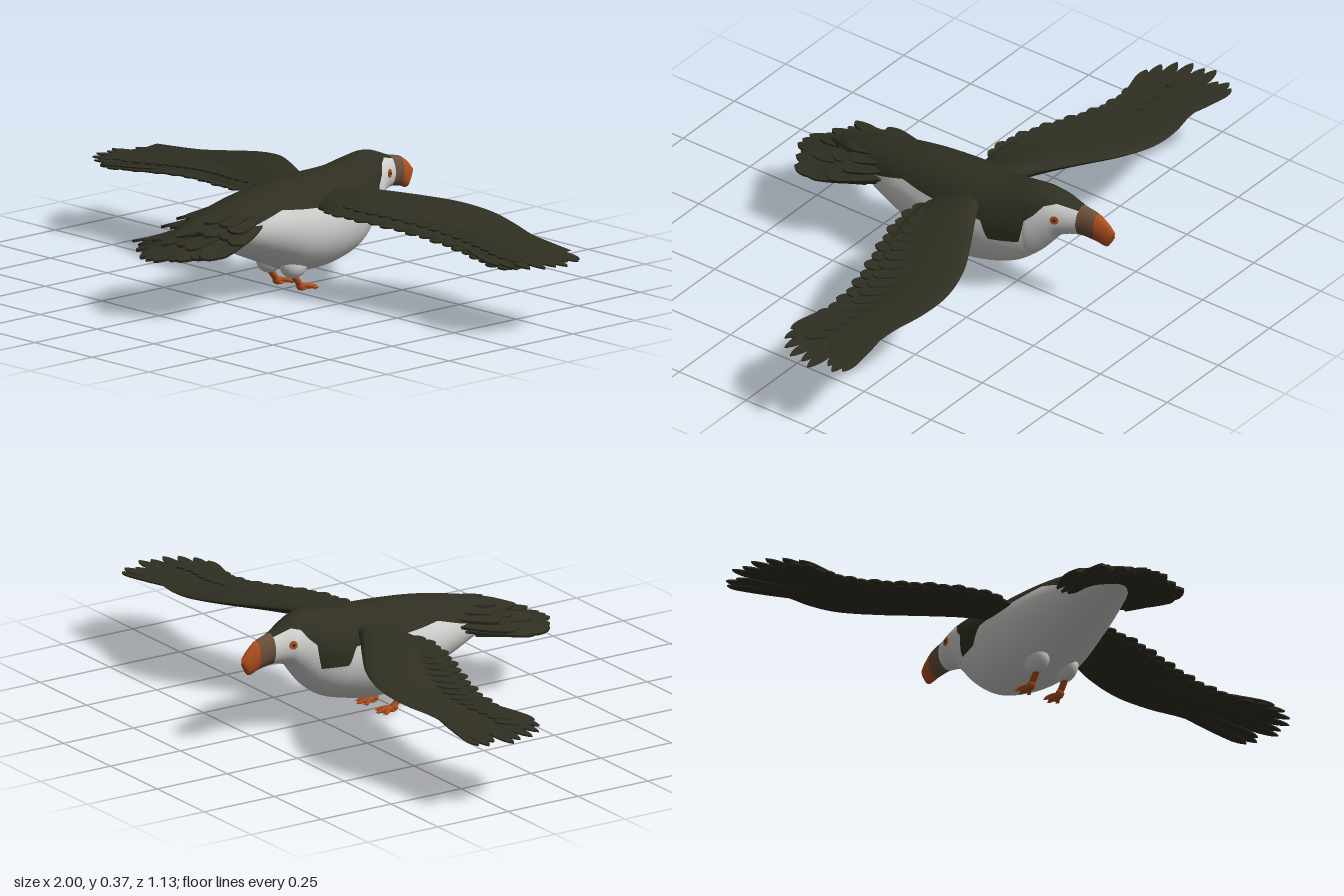
import * as THREE from 'three';

const mat = (name, color) => Object.assign(new THREE.MeshStandardMaterial({ color }), { name });
const V = (x, y, z) => new THREE.Vector3(x, y, z);

// Interpolate table rows at key k (first column); smooth = cubic, otherwise linear
function at(rows, k, smooth = true) {
  const dir = Math.sign(rows[1][0] - rows[0][0]);
  let i = 0;
  while (i < rows.length - 2 && (k - rows[i + 1][0]) * dir > 0) i++;
  const a = rows[i], b = rows[i + 1], p = rows[Math.max(i - 1, 0)], q = rows[Math.min(i + 2, rows.length - 1)];
  const h = b[0] - a[0], t = THREE.MathUtils.clamp((k - a[0]) / h, 0, 1);
  return a.map((_, c) => {
    if (!smooth) return a[c] + (b[c] - a[c]) * t;
    const m0 = (b[c] - p[c]) / (b[0] - p[0]) * h, m1 = (q[c] - a[c]) / (q[0] - a[0]) * h;
    const t2 = t * t, t3 = t2 * t;
    return a[c] * (2 * t3 - 3 * t2 + 1) + m0 * (t3 - 2 * t2 + t) + b[c] * (3 * t2 - 2 * t3) + m1 * (t3 - t2);
  });
}

// Skin a surface f(i, j) over a grid of rows and columns
function skin(nu, nv, f) {
  const pos = [], idx = [];
  for (let i = 0; i <= nu; i++) for (let j = 0; j <= nv; j++) {
    pos.push(...f(i / nu, j / nv));
    if (i < nu && j < nv) {
      const a = i * (nv + 1) + j, c = a + nv + 1;
      idx.push(a, a + 1, c, a + 1, c + 1, c);
    }
  }
  const g = new THREE.BufferGeometry();
  g.setAttribute('position', new THREE.Float32BufferAttribute(pos, 3));
  g.setIndex(idx);
  g.computeVertexNormals();
  return g;
}

// Body sections: z, top, bottom, half width, centre x
const BODY = [
  [0.44, 0.238, 0.228, 0.012, 0], [0.35, 0.272, 0.205, 0.055, 0], [0.2, 0.308, 0.14, 0.103, 0],
  [0.1, 0.325, 0.098, 0.125, 0], [0, 0.335, 0.058, 0.139, 0], [-0.1, 0.341, 0.05, 0.14, 0],
  [-0.2, 0.346, 0.066, 0.124, 0], [-0.27, 0.358, 0.09, 0.105, -0.005], [-0.33, 0.365, 0.135, 0.084, -0.014],
  [-0.37, 0.36, 0.18, 0.068, -0.022], [-0.4, 0.35, 0.213, 0.058, -0.03], [-0.46, 0.327, 0.229, 0.036, -0.042],
  [-0.512, 0.314, 0.222, 0.025, -0.049], [-0.545, 0.293, 0.213, 0.016, -0.053],
  [-0.56, 0.278, 0.232, 0.01, -0.055], [-0.572, 0.265, 0.255, 0.003, -0.056]];
// Height of the dark and white border along z
const BORDER = [
  [0.44, 0.228], [0.35, 0.222], [0.2, 0.245], [0.1, 0.275], [0.03, 0.268], [-0.2, 0.255], [-0.225, 0.2],
  [-0.315, 0.2], [-0.322, 0.275], [-0.35, 0.3], [-0.37, 0.328], [-0.4, 0.336], [-0.46, 0.319]];

function bodyPoint(z, a) {
  const [, top, bot, w, cx] = at(BODY, z);
  return [cx + w * Math.sin(a), (top + bot) / 2 + (top - bot) / 2 * Math.cos(a), z];
}
function angleAt(z, y) {
  const [, top, bot] = at(BODY, z);
  return Math.acos(THREE.MathUtils.clamp((2 * y - top - bot) / (top - bot), -1, 1));
}
// Strip of the body between two z values; a0 and a1 give the angle range
const bodyStrip = (z0, z1, nu, nv, a0, a1) => skin(nu, nv, (u, v) => {
  const z = z0 + (z1 - z0) * u, s = a0(z), e = a1(z);
  return bodyPoint(z, s + (e - s) * v);
});

// Wing sections: x, leading z, trailing z, mid height, thickness
const WING = [
  [0.07, -0.165, -0.04, 0.272, 0.055], [0.16, -0.215, -0.02, 0.276, 0.05], [0.27, -0.282, -0.025, 0.273, 0.042],
  [0.39, -0.347, -0.055, 0.265, 0.034], [0.51, -0.377, -0.088, 0.251, 0.026], [0.62, -0.367, -0.105, 0.237, 0.018],
  [0.72, -0.342, -0.1, 0.227, 0.012], [0.83, -0.333, -0.085, 0.219, 0.008], [0.91, -0.328, -0.105, 0.214, 0.003]];

// One thin blunt feather from root to tip
function feather(root, tip, width, side = V(0, 1, 0), thick = 0.005) {
  const L = root.distanceTo(tip), w = width / 2;
  const s = new THREE.Shape();
  s.moveTo(-w * 0.6, 0);
  s.lineTo(w * 0.6, 0);
  s.quadraticCurveTo(w * 1.2, L * 0.5, w, L * 0.82);
  s.quadraticCurveTo(w * 0.8, L * 0.95, 0, L);
  s.quadraticCurveTo(-w * 0.8, L * 0.95, -w, L * 0.82);
  s.quadraticCurveTo(-w * 1.2, L * 0.5, -w * 0.6, 0);
  const g = new THREE.ExtrudeGeometry(s, { depth: thick, bevelEnabled: false, curveSegments: 5 });
  g.translate(0, 0, -thick / 2);
  const y = tip.clone().sub(root).normalize();
  const x = y.clone().cross(side).normalize(), z = x.clone().cross(y);
  g.applyMatrix4(new THREE.Matrix4().makeBasis(x, y, z).setPosition(root));
  return g;
}

export function createModel() {
  const model = new THREE.Group();
  model.name = 'seabird';
  const dark = mat('darkPlumage', 0x302f22), white = mat('whitePlumage', 0xd2d2d0);
  const orange = mat('orange', 0xb0501f), brown = mat('beakBrown', 0x6a4f3b);
  const add = (parent, name, geo, m) => {
    const mesh = new THREE.Mesh(geo, m);
    mesh.name = name;
    parent.add(mesh);
    return mesh;
  };
  const group = (name, parent = model) => {
    const g = new THREE.Group();
    g.name = name;
    parent.add(g);
    return g;
  };

  // Body, with dark back and white underside meeting along the border
  const edge = z => angleAt(z, at(BORDER, z, false)[1]);
  add(model, 'back', bodyStrip(0.44, -0.46, 120, 18, z => -edge(z), edge), dark);
  add(model, 'belly', bodyStrip(0.44, -0.46, 120, 26, edge, z => 2 * Math.PI - edge(z)), white);

  // Beak
  const full = [() => 0, () => 2 * Math.PI];
  add(model, 'beakBase', bodyStrip(-0.46, -0.512, 6, 24, ...full), brown);
  add(model, 'beakTip', bodyStrip(-0.512, -0.572, 14, 24, ...full), orange);

  // Eyes lie flat on the cheeks
  for (const s of [1, -1]) {
    const z = -0.405, a = s * angleAt(z, 0.29);
    const p = V(...bodyPoint(z, a));
    const du = V(...bodyPoint(z - 0.01, a)).sub(p), dv = V(...bodyPoint(z, a + 0.05)).sub(p);
    const n = dv.cross(du).normalize();
    const eye = group(s > 0 ? 'leftEye' : 'rightEye');
    [['iris', 0.013, orange, 0.003], ['pupil', 0.005, dark, 0.005]].forEach(([name, r, m, off]) => {
      const disc = add(eye, name, new THREE.CylinderGeometry(r, r, 0.004, 14), m);
      disc.quaternion.setFromUnitVectors(V(0, 1, 0), n);
      disc.position.copy(p).addScaledVector(n, off - 0.001);
    });
  }

  for (const s of [1, -1]) {
    const side = s > 0 ? 'left' : 'right';

    // Wing: thin airfoil skin, trailing feathers and spread tip feathers
    const wing = group(side + 'Wing');
    wing.scale.x = s;
    add(wing, 'wingSkin', skin(40, 24, (u, v) => {
      const [x, lead, trail, y, t] = at(WING, 0.07 + 0.84 * u);
      const a = v * 2 * Math.PI, c = (1 - Math.cos(a)) / 2;
      const camber = 0.012 * (1 - c) - 0.012 * c;
      return [x, y + camber + t / 2 * Math.sin(a) * (1.25 - 0.6 * c), lead + (trail - lead) * c];
    }), dark);
    for (let i = 0; i < 17; i++) {
      const x = 0.17 + i * 0.043;
      const [, , trail, y] = at(WING, x);
      const tip = V(x + 0.025, y - 0.012, trail + 0.016 + 0.007 * (i % 2));
      add(wing, 'flightFeather', feather(V(x - 0.02, y - 0.009, trail - 0.09), tip, 0.052), dark);
      // Short coverts overlapping on top
      const cov = V(x + 0.02, y + 0.002, trail - 0.03);
      add(wing, 'covertFeather', feather(V(x - 0.02, y + 0.008, trail - 0.1), cov, 0.045), dark);
    }
    const tips = [[0.95, -0.322], [0.972, -0.298], [0.955, -0.27], [1, -0.228], [0.985, -0.195], [0.985, -0.152],
      [0.96, -0.113], [0.92, -0.083], [0.87, -0.067]];
    tips.forEach(([x, z], i) => {
      const root = V(0.7 - i * 0.012, 0.228, -0.3 + i * 0.018);
      add(wing, 'primaryFeather', feather(root, V(x, 0.207 + 0.001 * i, z), 0.038, V(0, 1, 0), 0.004), dark);
    });

    // Leg: white thigh, slanting shank and three webbed toes
    const leg = group(side + 'Leg');
    leg.position.x = s * 0.052;
    const thigh = add(leg, 'thigh', new THREE.SphereGeometry(1, 16, 12), white);
    thigh.scale.set(0.032, 0.045, 0.05);
    thigh.position.set(0, 0.087, 0.005);
    const shank = new THREE.LineCurve3(V(0, 0.066, 0.018), V(0, 0.016, -0.022));
    add(leg, 'shank', new THREE.TubeGeometry(shank, 4, 0.01, 10), orange);
    const ankle = add(leg, 'ankle', new THREE.SphereGeometry(0.013, 12, 8), orange);
    ankle.position.set(0, 0.014, -0.022);
    for (const k of [-1, 0, 1]) {
      const toe = new THREE.CatmullRomCurve3([V(0, 0.014, -0.022), V(k * 0.013, 0.013, -0.048),
        V(k * 0.022, 0.007, -0.076 + 0.012 * Math.abs(k))]);
      add(leg, 'toe', new THREE.TubeGeometry(toe, 6, 0.0055, 8), orange);
      const claw = add(leg, 'claw', new THREE.ConeGeometry(0.0055, 0.014, 8), orange);
      claw.position.copy(toe.getPoint(1)).add(V(0, 0, -0.006));
      claw.rotation.x = -Math.PI / 2;
    }
    const web = new THREE.Shape([[0, 0.024], [0.023, 0.06], [0.009, 0.062], [0, 0.072], [-0.009, 0.062], [-0.023, 0.06]]
      .map(([x, y]) => new THREE.Vector2(x, y)));
    const webMesh = add(leg, 'web', new THREE.ExtrudeGeometry(web, { depth: 0.005, bevelEnabled: false }), orange);
    webMesh.rotation.x = -Math.PI / 2;
    webMesh.position.y = 0.004;
    const heel = add(leg, 'sole', new THREE.SphereGeometry(1, 12, 8), orange);
    heel.scale.set(0.013, 0.006, 0.018);
    heel.position.set(0, 0.006, -0.03);
  }

  // Tail: overlapping layers of feathers, longest at the bottom and centre
  const tail = group('tail');
  // columns: count, root z, root height, tip z, tip height, root spread, tip spread, side shortening
  const layers = [[11, 0.24, 0.237, 0.57, 0.177, 0.09, 0.15, 0.1], [9, 0.2, 0.255, 0.49, 0.213, 0.085, 0.15, 0.06],
    [9, 0.17, 0.275, 0.42, 0.24, 0.08, 0.155, 0.07], [7, 0.16, 0.298, 0.37, 0.266, 0.065, 0.12, 0.05]];
  layers.forEach(([n, z0, y0, z1, y1, x0, x1, cut], k) => {
    for (let i = 0; i < n; i++) {
      const t = 2 * i / (n - 1) - 1, b = t * t;
      const root = V(t * x0, y0 - 0.03 * b, z0);
      const tip = V(t * x1, y1 - (k ? 0.022 : -0.018) * b, z1 - cut * Math.abs(t) - 0.016 * (i % 2));
      const f = feather(root, tip, 0.058, V(t * 0.35, 1, 0.15), 0.008);
      add(tail, 'tailFeather', f, dark);
    }
  });
  return model;
}
